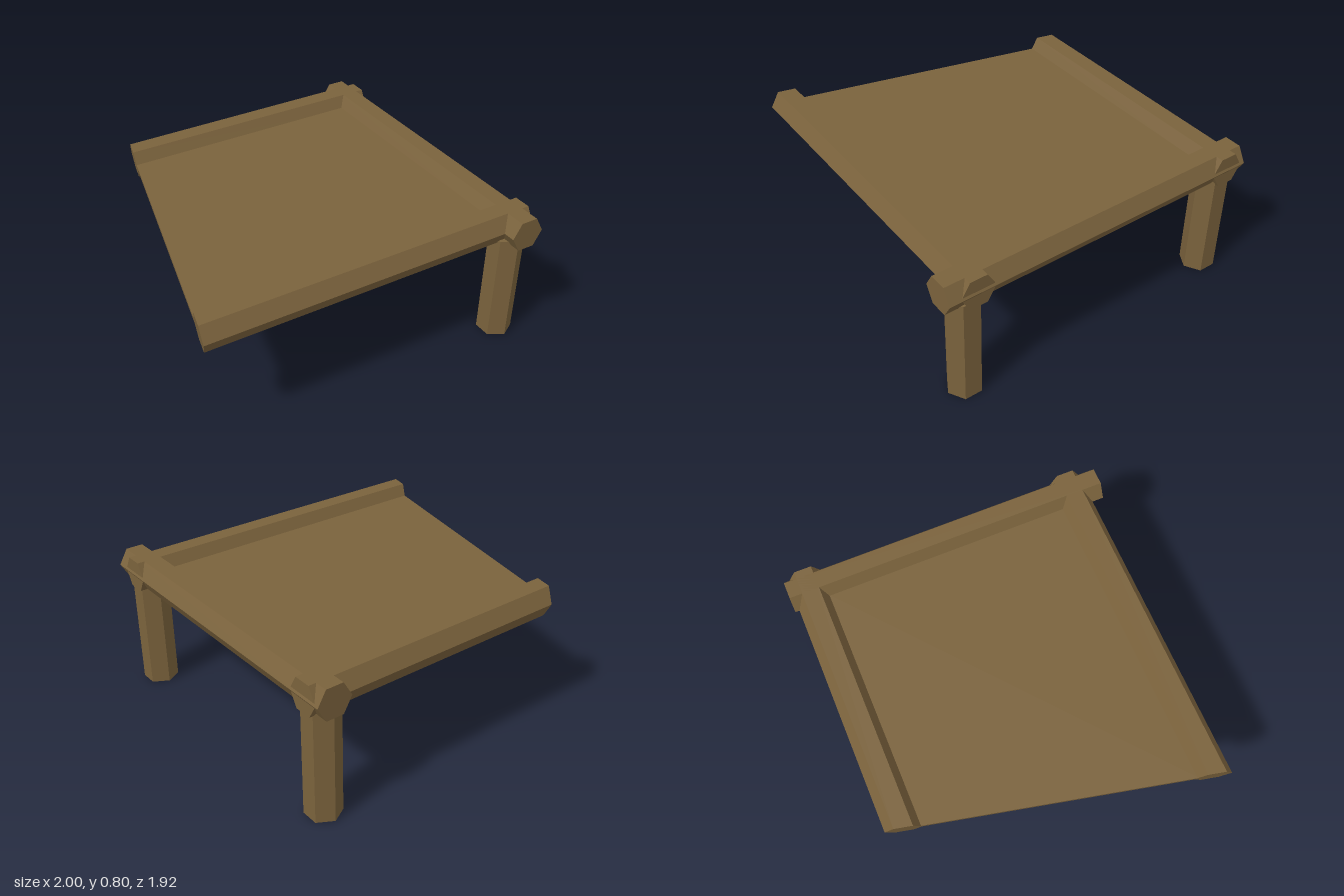
import * as THREE from 'three';

const RADIUS = 0.1;   // hexagonal log radius
const DECK_Y = 0.718; // axis height of the frame logs

export function createModel() {
  const model = new THREE.Group();
  model.name = 'woodenPlatform';
  const wood = new THREE.MeshStandardMaterial({ color: 0x7a623c, flatShading: true });
  wood.name = 'brownWood';

  const add = (name, geometry) => {
    const mesh = new THREE.Mesh(geometry, wood);
    mesh.name = name;
    model.add(mesh);
  };
  const hexLog = (length) => new THREE.CylinderGeometry(RADIUS, RADIUS, length, 6);

  // Moves every vertex on the left end onto one slanted cutting plane
  const cutLeftEnd = (geometry) => {
    const p = geometry.attributes.position;
    for (let i = 0; i < p.count; i++) {
      if (p.getX(i) < 0) p.setX(i, -0.797 - 0.228 * p.getZ(i) - 0.12 * (p.getY(i) - DECK_Y));
    }
    geometry.computeVertexNormals();
    return geometry;
  };

  // Cross log over the legs
  add('endBeam', hexLog(1.917).rotateY(Math.PI / 6).rotateX(Math.PI / 2).translate(0.897, DECK_Y, 0));

  // Long side logs with slanted left ends
  for (const [name, z] of [['frontBeam', 0.791], ['backBeam', -0.834]]) {
    add(name, cutLeftEnd(hexLog(1.98).rotateZ(Math.PI / 2).translate(0, DECK_Y, z)));
  }

  // Legs
  for (const [name, z] of [['frontLeg', 0.817], ['backLeg', -0.832]]) {
    add(name, hexLog(0.65).translate(0.883, 0.325, z));
  }

  // Thin deck panel held between the logs
  add('deckPanel', cutLeftEnd(new THREE.BoxGeometry(1.7, 0.036, 1.46).translate(-0.03, 0.72, -0.02)));

  return model;
}
